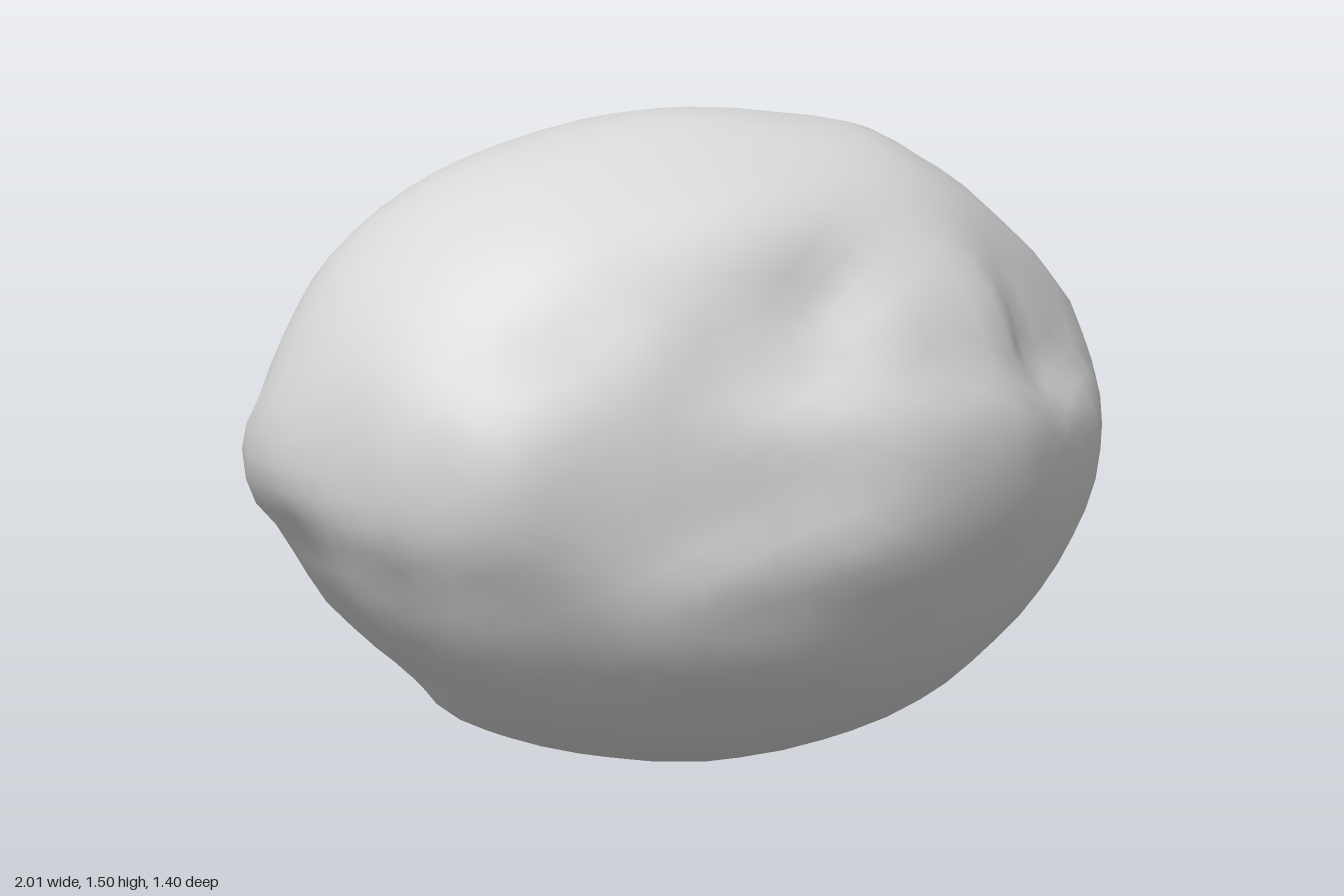
import * as THREE from 'three';
import { mergeVertices } from 'three/addons/utils/BufferGeometryUtils.js';

const HALF = new THREE.Vector3(1, 0.745, 0.7); // half sizes of the underlying ellipsoid

// Outline around the long, upright section: [x, y] at z = 0
const upright = [
  [1, 0.74], [0.94, 1], [0.86, 1.11], [0.76, 1.21], [0.62, 1.33], [0.45, 1.43], [0.25, 1.465], [0, 1.49],
  [-0.2, 1.465], [-0.35, 1.43], [-0.5, 1.39], [-0.68, 1.29], [-0.77, 1.22], [-0.93, 1], [-1.005, 0.74],
  [-0.88, 0.51], [-0.8, 0.385], [-0.65, 0.24], [-0.5, 0.105], [-0.2, 0.02], [0.11, -0.005], [0.53, 0.1],
  [0.77, 0.28], [0.92, 0.5],
];
// Outline around the cross section: [z, y] at x = 0
const cross = [
  [-0.2, 1.455], [-0.45, 1.3], [-0.55, 1.18], [-0.69, 0.93], [-0.7, 0.72], [-0.69, 0.62], [-0.6, 0.4],
  [-0.5, 0.25], [-0.44, 0.19], [-0.1, 0.005], [0.2, 0.03], [0.45, 0.18], [0.58, 0.29], [0.65, 0.45],
  [0.58, 1.02], [0.53, 1.16], [0.51, 1.25], [0.45, 1.32], [0.3, 1.4],
];
// Outline around the level section: [x, z] at mid height
const level = [
  [0.2, -0.69], [0.4, -0.645], [0.6, -0.595], [0.8, -0.48], [0.88, -0.38], [0.99, -0.13], [0.98, 0.13],
  [0.92, 0.28], [0.8, 0.44], [0.6, 0.6], [0.45, 0.665], [0.31, 0.7], [0.15, 0.68], [0, 0.66], [-0.2, 0.645],
  [-0.4, 0.615], [-0.6, 0.6], [-0.8, 0.44], [-0.9, 0.28], [-1, -0.14], [-0.86, -0.3], [-0.77, -0.42],
  [-0.69, -0.5], [-0.6, -0.59], [-0.4, -0.655], [-0.2, -0.69],
];
// Hollows and ridges between the outlines: [x, y, z]
const details = [
  [0.3, 0.62, 0.7],                                                 // front nose
  [0.1, 1.1, 0.52], [-0.35, 1.05, 0.57], [0.4, 1.05, 0.56],         // upper front hollow and its rims
  [0.73, 0.96, 0.33], [0.8, 0.99, 0.26], [0.58, 1.05, 0.49],        // crater at the left end
  [-0.66, 1, -0.39], [-0.87, 0.85, -0.25], [-0.85, 0.65, -0.33],    // broad hollow at the right end
  [-0.8, 0.42, 0.2], [-0.8, 0.42, -0.2],                            // flattened underside
  [-0.52, 1.2, 0.42], [0.55, 1.2, -0.4], [-0.5, 1.2, -0.42],        // corners
  [0.6, 0.4, 0.46], [-0.57, 0.35, 0.43], [0.58, 0.35, -0.43], [-0.57, 0.35, -0.43],
];

// Every surface point as a direction and a radius relative to the ellipsoid
const samples = [
  ...upright.map(([x, y]) => [x, y, 0]),
  ...cross.map(([z, y]) => [0, y, z]),
  ...level.map(([x, z]) => [x, HALF.y, z]),
  ...details,
].map(([x, y, z]) => {
  const dir = new THREE.Vector3(x, y - HALF.y, z).divide(HALF);
  const r = dir.length();
  return { dir: dir.normalize(), r };
});

// Blend the nearest surface points
function radius(p) {
  let sum = 0, total = 0;
  for (const s of samples) {
    const w = 1 / (p.distanceToSquared(s.dir) + 0.022) ** 3;
    sum += w * s.r;
    total += w;
  }
  return sum / total;
}

export function createModel() {
  const group = new THREE.Group();
  group.name = 'rock';

  const stone = new THREE.MeshStandardMaterial({ color: 0xd8d8d8 });
  stone.name = 'grey stone';

  let geometry = new THREE.IcosahedronGeometry(1, 11);
  geometry.deleteAttribute('uv');
  geometry.deleteAttribute('normal');
  geometry = mergeVertices(geometry, 1e-4);

  const pos = geometry.attributes.position;
  const p = new THREE.Vector3();
  for (let i = 0; i < pos.count; i++) {
    p.fromBufferAttribute(pos, i).normalize();
    p.multiplyScalar(radius(p)).multiply(HALF);
    pos.setXYZ(i, p.x, p.y + HALF.y, p.z);
  }
  geometry.computeVertexNormals();

  const body = new THREE.Mesh(geometry, stone);
  body.name = 'rockBody';
  group.add(body);
  return group;
}
